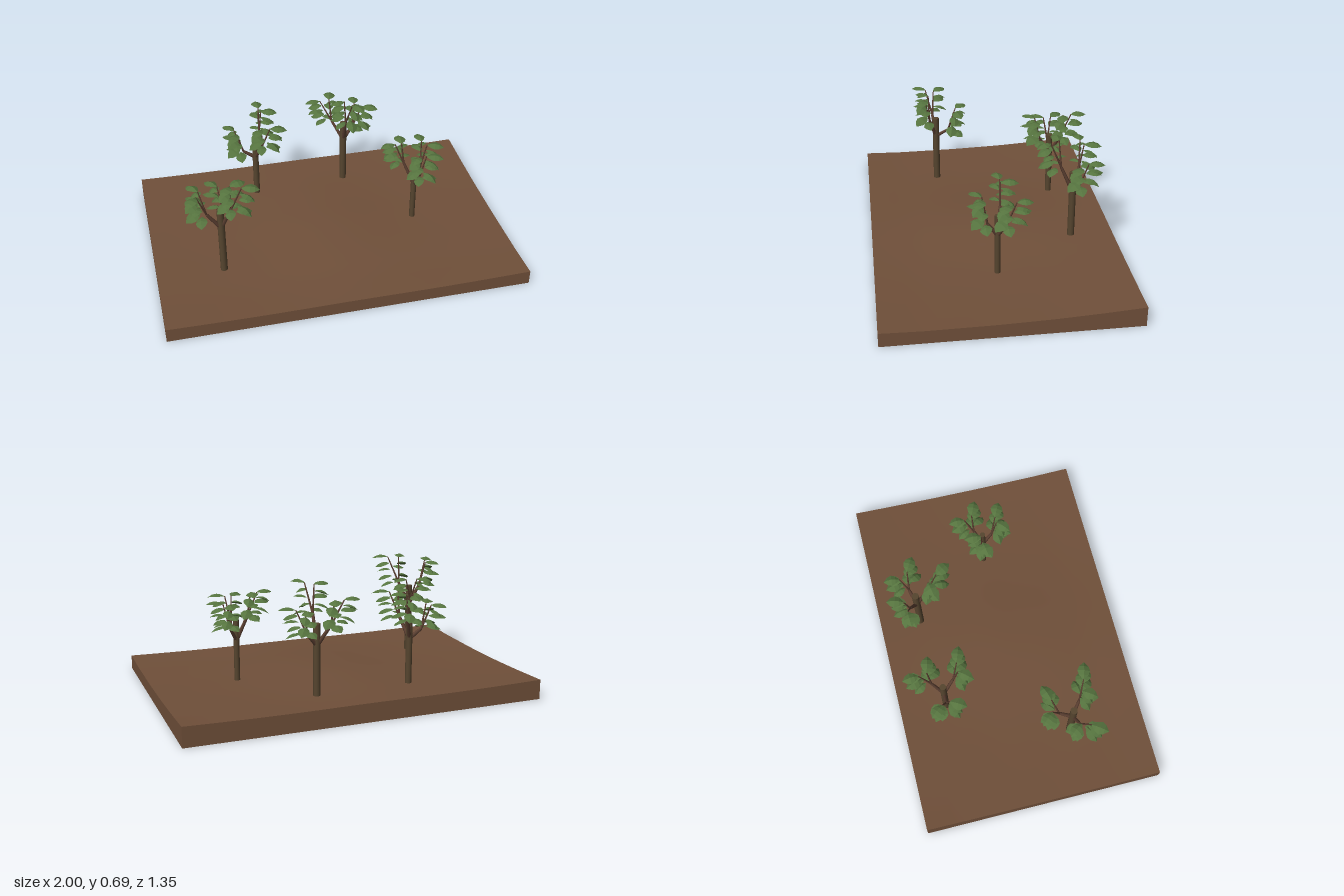
import * as THREE from 'three';

const mat = (name, color, extra = {}) => {
  const m = new THREE.MeshStandardMaterial({ color, ...extra });
  m.name = name;
  return m;
};

// Height of the soil: dished towards the edges with a soft mound in the middle
const edgeProfile = [[-0.675, 0.112], [-0.45, 0.097], [-0.2, 0.084], [0.1, 0.076], [0.45, 0.074], [0.675, 0.08]];
function edgeHeight(z) {
  for (let i = 1; i < edgeProfile.length; i++) {
    const [z0, h0] = edgeProfile[i - 1], [z1, h1] = edgeProfile[i];
    if (z <= z1 + 1e-4) return h0 + (h1 - h0) * (z - z0) / (z1 - z0);
  }
  return 0.08;
}
const groundHeight = (x, z) =>
  edgeHeight(z) - 0.012 * (1 - x * x) + 0.034 * Math.exp(-((x / 0.4) ** 2) - (z / 0.5) ** 2);

function makeGround(material) {
  const geo = new THREE.BoxGeometry(2, 1, 1.35, 24, 1, 18);
  const p = geo.attributes.position;
  for (let i = 0; i < p.count; i++) {
    p.setY(i, p.getY(i) > 0 ? groundHeight(p.getX(i), p.getZ(i)) : 0);
  }
  geo.computeVertexNormals();
  const mesh = new THREE.Mesh(geo, material);
  mesh.name = 'ground';
  return mesh;
}

// Pointed leaf along +z, folded on its midrib and drooping at the tip
function makeLeafGeometry() {
  const length = 0.09;
  const widths = [0.003, 0.024, 0.033, 0.024, 0];
  const pos = [], index = [];
  widths.forEach((w, i) => {
    const t = i / (widths.length - 1);
    const y = 0.016 * Math.sin(t * Math.PI * 0.8) - 0.026 * t * t;
    for (const s of [-1, 0, 1]) pos.push(s * w, y - Math.abs(s) * w * 0.4, t * length);
    if (i === 0) return;
    for (let j = 0; j < 2; j++) {
      const a = (i - 1) * 3 + j, b = a + 3;
      index.push(a, b, a + 1, a + 1, b, b + 1);
    }
  });
  const geo = new THREE.BufferGeometry();
  geo.setAttribute('position', new THREE.Float32BufferAttribute(pos, 3));
  geo.setIndex(index);
  const flat = geo.toNonIndexed();
  flat.computeVertexNormals();
  return flat;
}

// Tapered stick between two points
function stick(name, a, b, r0, r1, material) {
  const dir = b.clone().sub(a);
  const mesh = new THREE.Mesh(new THREE.CylinderGeometry(r1, r0, dir.length(), 6), material);
  mesh.position.copy(a).addScaledVector(dir, 0.5);
  mesh.quaternion.setFromUnitVectors(new THREE.Vector3(0, 1, 0), dir.normalize());
  mesh.name = name;
  return mesh;
}

// Each tree: trunk place, radius, top, and three branches of two leaf clumps
// (low and high level of the leaves, then x, z of both clumps)
const trees = [
  { x: -0.63, z: 0.245, r: 0.02, top: 0.475, branches: [
    [0.42, 0.54, -0.645, 0.1, -0.53, 0.125],
    [0.48, 0.61, -0.757, 0.222, -0.775, 0.32],
    [0.5, 0.645, -0.595, 0.315, -0.49, 0.325]] },
  { x: -0.325, z: -0.41, r: 0.018, top: 0.465, branches: [
    [0.48, 0.61, -0.28, -0.555, -0.243, -0.47],
    [0.41, 0.53, -0.46, -0.46, -0.447, -0.365],
    [0.47, 0.59, -0.318, -0.29, -0.22, -0.3]] },
  { x: 0.22, z: -0.44, r: 0.02, top: 0.49, branches: [
    [0.5, 0.62, 0.06, -0.5, 0.157, -0.54],
    [0.46, 0.575, 0.307, -0.535, 0.365, -0.44],
    [0.54, 0.68, 0.175, -0.353, 0.254, -0.28]] },
  { x: 0.525, z: 0.02, r: 0.016, top: 0.425, branches: [
    [0.46, 0.575, 0.38, 0, 0.45, -0.035],
    [0.41, 0.53, 0.59, -0.1, 0.635, -0.01],
    [0.4, 0.54, 0.505, 0.125, 0.59, 0.118]] },
];

function makeTree({ x, z, r, top, branches }, mats, leafGeo) {
  const tree = new THREE.Group();
  tree.name = 'tree';
  const base = groundHeight(x, z) - 0.01;
  const trunk = new THREE.Mesh(new THREE.CylinderGeometry(r, r, top - base, 10), mats.bark);
  trunk.position.set(x, (top + base) / 2, z);
  trunk.name = 'trunk';
  tree.add(trunk);

  const fork = new THREE.Vector3(x, top - 0.12, z);
  for (const [low, high, x1, z1, x2, z2] of branches) {
    const mid = new THREE.Vector3((x1 + x2) / 2, 0, (z1 + z2) / 2);
    const joint = new THREE.Vector3(x, 0, z).lerp(mid, 0.55).setY(low - 0.015);
    tree.add(stick('branch', fork, joint, 0.012, 0.008, mats.branch));

    [[x1, z1], [x2, z2]].forEach(([cx, cz], side) => {
      // Leaves point away from the trunk and apart from the twin clump
      const dir = new THREE.Vector3(cx - x, 0, cz - z).normalize();
      dir.add(new THREE.Vector3(cx, 0, cz).sub(mid).normalize()).normalize();
      const end = new THREE.Vector3(cx, high, cz).addScaledVector(dir, -0.03);
      tree.add(stick('twig', joint, end, 0.006, 0.003, mats.branch));

      const count = 5;
      for (let k = 0; k < count; k++) {
        const t = k / (count - 1);
        const leaf = new THREE.Mesh(leafGeo, mats.leaf);
        leaf.position.lerpVectors(joint, end, 0.5 + 0.5 * t);
        leaf.position.y = low + (high - low) * t - 0.012 * side * (1 - t);
        leaf.rotation.order = 'YXZ';
        leaf.rotation.y = Math.atan2(dir.x, dir.z) + [0.45, -0.5, 0.2, -0.3, 0][k];
        leaf.rotation.x = [0.05, 0.2, -0.1, 0.15, -0.1][k];
        leaf.rotation.z = [0.2, -0.2, 0.15, -0.25, 0.1][k];
        leaf.scale.setScalar(0.9 + 0.08 * ((k + side) % 3));
        leaf.name = 'leaf';
        tree.add(leaf);
      }
    });
  }
  return tree;
}

export function createModel() {
  const model = new THREE.Group();
  model.name = 'orchardPlot';
  const mats = {
    bark: mat('trunk bark', 0x56452f),
    branch: mat('branch wood', 0x5c4032),
    leaf: mat('leaf green', 0x56743f, { side: THREE.DoubleSide }),
  };
  model.add(makeGround(mat('soil', 0x70503a)));
  const leafGeo = makeLeafGeometry();
  for (const t of trees) model.add(makeTree(t, mats, leafGeo));
  return model;
}
